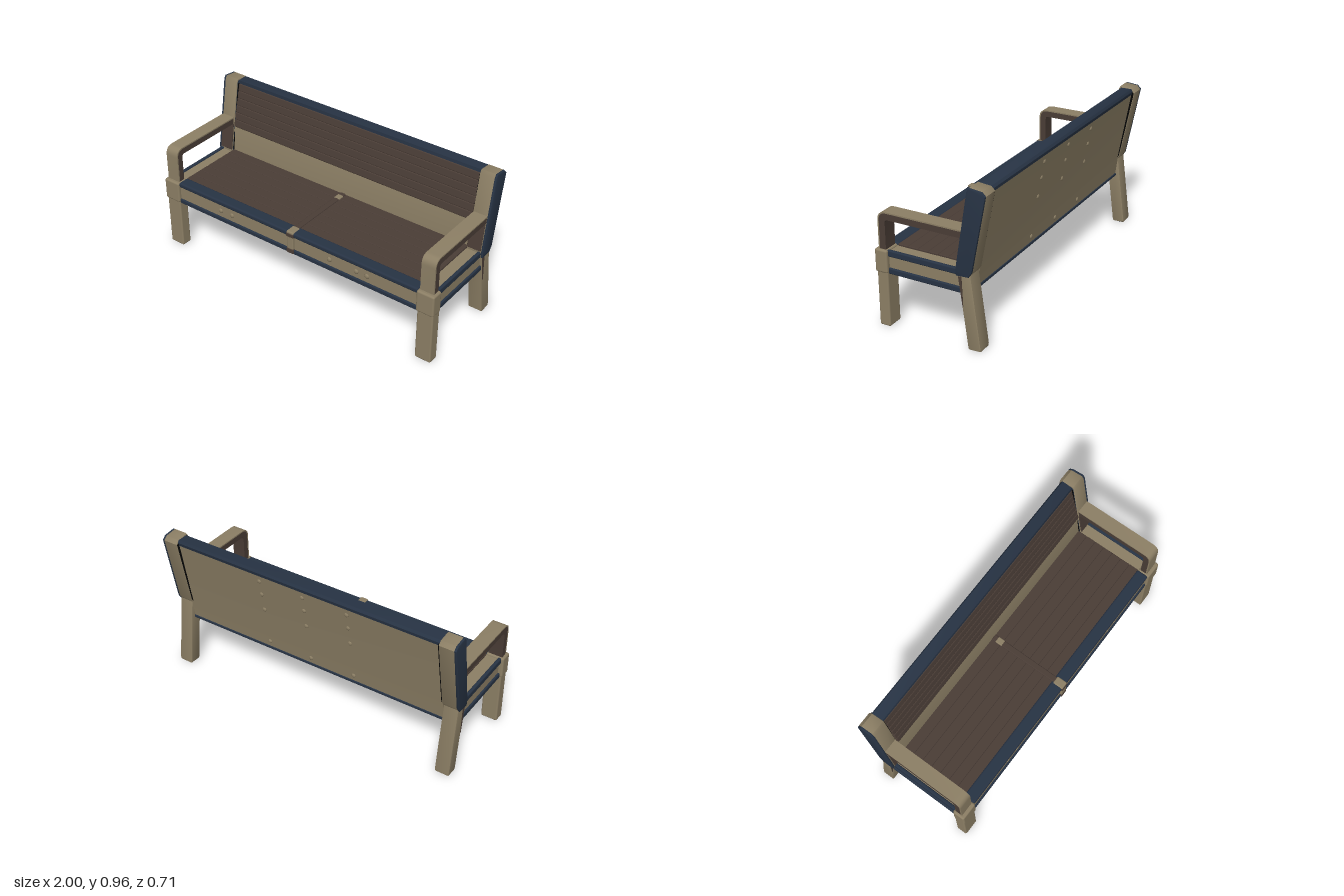
import * as THREE from 'three';
import { RoundedBoxGeometry } from 'three/addons/geometries/RoundedBoxGeometry.js';
import { toCreasedNormals } from 'three/addons/utils/BufferGeometryUtils.js';

export function createModel() {
  const bench = new THREE.Group();
  bench.name = 'bench';

  const material = (name, color) => {
    const m = new THREE.MeshStandardMaterial({ color });
    m.name = name;
    return m;
  };
  const beige = material('beige paint', 0x8c7f65);
  const brown = material('brown wood', 0x4a3d36);
  const blue = material('navy trim', 0x273344);
  const black = material('black underside', 0x050505);

  const add = (name, geometry, mat) => {
    const mesh = new THREE.Mesh(geometry, mat);
    mesh.name = name;
    bench.add(mesh);
    return mesh;
  };

  // Softened box given by its limits on each axis
  const box = (name, mat, [x0, x1], [y0, y1], [z0, z1], radius = 0.008) => {
    const size = [x1 - x0, y1 - y0, z1 - z0];
    const r = Math.min(radius, Math.min(...size) * 0.45);
    const mesh = add(name, new RoundedBoxGeometry(...size, 2, r), mat);
    mesh.position.set((x0 + x1) / 2, (y0 + y1) / 2, (z0 + z1) / 2);
    return mesh;
  };

  // Side profile in (z, y), swept across x from x0 to x1
  const sweep = (name, mat, shape, [x0, x1], bevel = 0) => {
    const geometry = new THREE.ExtrudeGeometry(shape, {
      depth: x1 - x0 - 2 * bevel,
      bevelEnabled: bevel > 0,
      bevelSize: bevel,
      bevelThickness: bevel,
      bevelOffset: -bevel,
      bevelSegments: 2,
      curveSegments: 8,
    });
    geometry.rotateY(-Math.PI / 2);
    geometry.translate(x1 - bevel, 0, 0);
    return add(name, toCreasedNormals(geometry, 0.6), mat);
  };
  const polygon = (points) => new THREE.Shape(points.map((p) => new THREE.Vector2(...p)));

  // Armrest band: post, rounded corner and rail, as deep as t
  const armShape = (t) => {
    const s = new THREE.Shape();
    const r = 0.055;
    const ri = Math.max(r - t, 0.02);
    s.moveTo(0.331, 0.46);
    s.lineTo(0.331, 0.7 - r);
    s.quadraticCurveTo(0.331, 0.7, 0.331 - r, 0.7);
    s.lineTo(-0.215, 0.7);
    s.lineTo(-0.215, 0.7 - t);
    s.lineTo(0.331 - t - ri, 0.7 - t);
    s.quadraticCurveTo(0.331 - t, 0.7 - t, 0.331 - t, 0.7 - t - ri);
    s.lineTo(0.331 - t, 0.46);
    s.closePath();
    return s;
  };

  const postShape = polygon([
    [-0.162, 0.475], [-0.24, 0.935], [-0.252, 0.955], [-0.33, 0.947],
    [-0.352, 0.925], [-0.264, 0.475], [-0.243, 0.442], [-0.165, 0.437],
  ]);
  const postLiningShape = polygon([
    [-0.175, 0.48], [-0.25, 0.925], [-0.33, 0.935], [-0.346, 0.92], [-0.259, 0.478], [-0.24, 0.45],
  ]);
  const rearLegShape = polygon([[-0.17, 0.46], [-0.229, 0.005], [-0.235, 0], [-0.305, 0.003], [-0.307, 0.02], [-0.25, 0.46]]);
  const rearLegStripe = polygon([[-0.176, 0.434], [-0.2, 0.26], [-0.204, 0.26], [-0.197, 0.434]]);

  // Mirrored ends: legs, back posts, armrests and side rails
  for (const side of [1, -1]) {
    const span = (a, b) => (side > 0 ? [a, b] : [-b, -a]);
    box('frontLeg', beige, span(0.89, 0.995), [0.001, 0.36], [0.275, 0.345], 0.01);
    box('frontLegCollar', beige, span(0.884, 1), [0.335, 0.476], [0.274, 0.354], 0.012);
    box('frontFoot', black, span(0.897, 0.988), [0, 0.006], [0.282, 0.338], 0.002);
    sweep('rearLeg', beige, rearLegShape, span(0.898, 0.99), 0.006);
    sweep('rearLegStripe', brown, rearLegStripe, span(0.985, 0.992));
    box('rearFoot', black, span(0.905, 0.983), [-0.001, 0.006], [-0.299, -0.238], 0.002);
    sweep('backPost', [blue, beige], postShape, span(0.89, 0.99), 0.008);
    sweep('backPostLining', black, postLiningShape, span(0.886, 0.892));
    sweep('backPostOuterTrim', blue, postShape, span(0.982, 0.999), 0.006);
    const face = box('backPostLowerFace', brown, span(0.892, 0.982), [0.478, 0.656], [-0.181, -0.173], 0.002);
    face.rotation.x = -0.168;
    sweep('armrest', brown, armShape(0.045), span(0.896, 0.984));
    const cover = sweep('armrestCover', beige, armShape(0.008), span(0.895, 0.985));
    cover.position.set(0, 0.001, 0.001);
    box('sideTopRail', blue, span(0.962, 0.984), [0.435, 0.474], [-0.2, 0.285]);
    box('sideBottomRail', blue, span(0.945, 0.984), [0.33, 0.366], [-0.2, 0.285]);
    box('sideUnderRail', brown, span(0.915, 0.955), [0.328, 0.34], [-0.17, 0.275], 0.002);
  }

  // Seat frame
  box('seatFrame', beige, [-0.973, 0.973], [0.336, 0.464], [-0.21, 0.335]);
  box('seatUnderside', black, [-0.92, 0.92], [0.329, 0.338], [-0.225, 0.325], 0.002);
  box('frontTopRail', blue, [-0.888, 0.888], [0.446, 0.48], [0.268, 0.345], 0.012);
  box('frontBottomRail', blue, [-0.888, 0.888], [0.33, 0.361], [0.3, 0.345]);

  // Seat boards
  const boards = 7;
  const pitch = 0.455 / boards;
  for (let i = 0; i < boards; i++) {
    const z = -0.183 + i * pitch;
    box('seatBoard', brown, [-0.89, 0.89], [0.445, 0.475], [z, z + pitch], 0.004);
  }

  // Back panel with its top and bottom trim
  sweep('backPanel', beige, polygon([
    [-0.18, 0.345], [-0.18, 0.475], [-0.2, 0.64], [-0.262, 0.925],
    [-0.334, 0.925], [-0.253, 0.47], [-0.236, 0.345],
  ]), [-0.895, 0.895]);
  sweep('backTopRail', blue, polygon([
    [-0.256, 0.912], [-0.26, 0.946], [-0.328, 0.946], [-0.338, 0.932], [-0.334, 0.912],
  ]), [-0.895, 0.895], 0.004);
  box('backBottomRail', blue, [-0.9, 0.9], [0.33, 0.35], [-0.241, -0.19], 0.006);

  // Overlapping backrest slats
  for (let i = 0; i < 6; i++) {
    const y = 0.664 + i * 0.047;
    const front = -0.187 - 0.24 * (y - 0.64);
    const slat = box('backSlat', brown, [-0.888, 0.888], [y - 0.026, y + 0.026], [front - 0.034, front], 0.008);
    slat.rotation.x = -0.2;
  }

  // Centre divider: strip across the seat, clasp over the front rail
  box('dividerStrip', brown, [-0.019, 0.019], [0.46, 0.482], [-0.16, 0.3], 0.006);
  box('dividerEnd', beige, [-0.02, 0.02], [0.46, 0.483], [-0.155, -0.105], 0.006);
  box('dividerTip', brown, [-0.019, 0.019], [0.46, 0.482], [-0.182, -0.15], 0.006);
  box('dividerCap', beige, [-0.026, 0.026], [0.455, 0.485], [0.28, 0.349]);
  box('dividerFront', beige, [-0.024, 0.024], [0.36, 0.465], [0.3, 0.349]);
  box('dividerBand', brown, [-0.027, 0.027], [0.448, 0.472], [0.3, 0.352], 0.004);
  box('dividerFoot', brown, [-0.026, 0.026], [0.333, 0.366], [0.3, 0.351], 0.006);

  // Bolt heads on the apron and on the back
  const bolt = (name, x, y, z, r) => {
    const mesh = add(name, new THREE.SphereGeometry(r, 10, 8), beige);
    mesh.position.set(x, y, z);
    mesh.scale.z = 0.5;
  };
  for (const x of [-0.55, -0.46, 0.28, 0.47, 0.545]) bolt('apronBolt', x, 0.403, 0.335, 0.016);
  for (const x of [-0.3, 0, 0.3]) {
    for (const y of [0.65, 0.77, 0.87]) bolt('backBolt', x, y, -0.253 - 0.178 * (y - 0.47), 0.014);
    bolt('backBolt', x, 0.39, -0.243, 0.014);
  }

  return bench;
}
